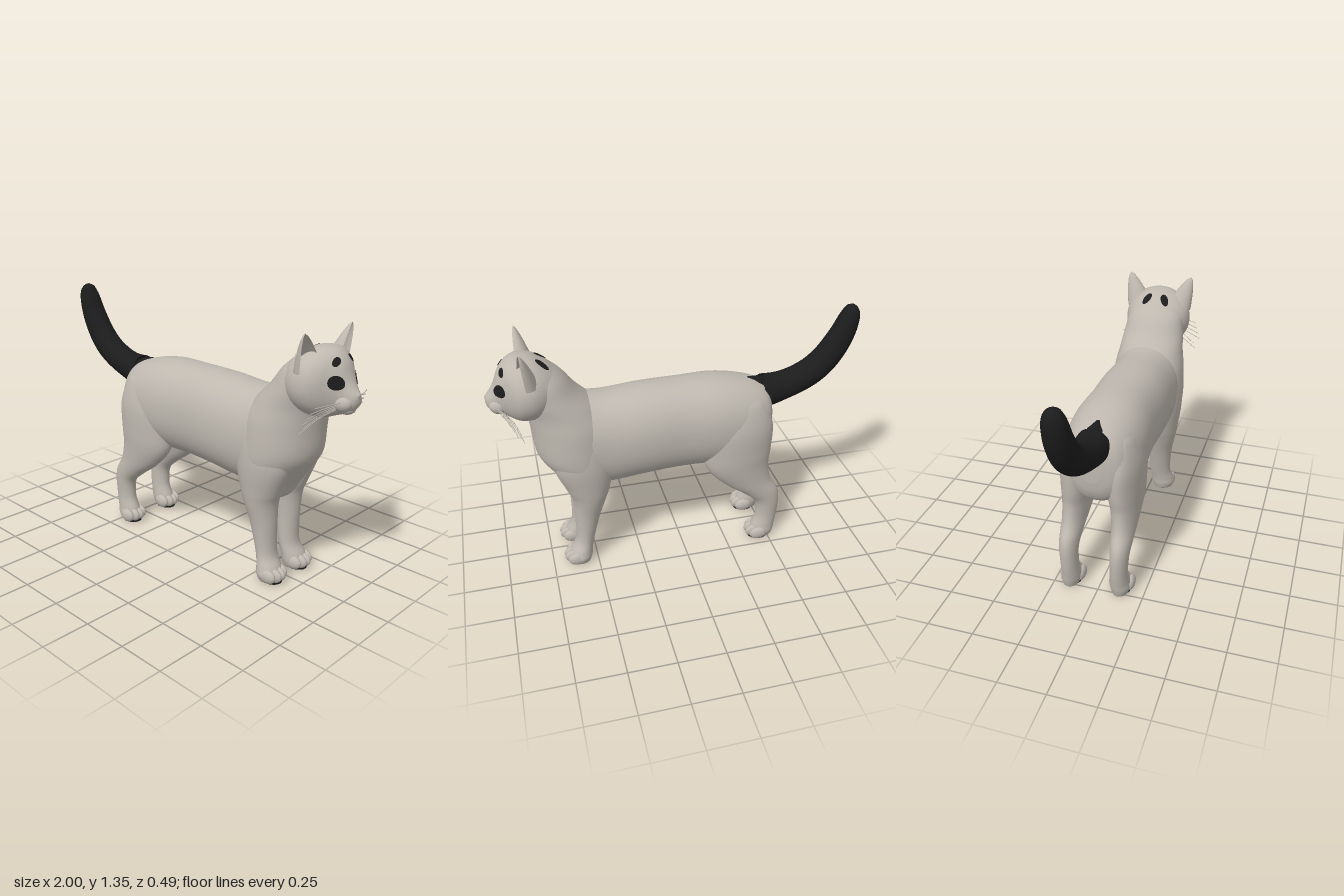
import * as THREE from 'three';

const fur = new THREE.MeshStandardMaterial({ color: 0xbeb8af });
fur.name = 'pale fur';
const dark = new THREE.MeshStandardMaterial({ color: 0x1c1c1c });
dark.name = 'dark fur';
const earFur = new THREE.MeshStandardMaterial({ color: 0xbeb8af, side: THREE.DoubleSide });
earFur.name = 'ear fur';
const mark = new THREE.MeshStandardMaterial({ color: 0x1c1c1c, side: THREE.DoubleSide });
mark.name = 'dark markings';

// Closed skin through rows [cx, cy, cz, ru, rv]; axis is a fixed [tx, ty], or null to follow the path
function loft(rows, axis, { sides = 36, steps = 6, power = 2 } = {}) {
  const curve = (f) => new THREE.CatmullRomCurve3(rows.map(f), false, 'catmullrom', 0.5);
  const centres = curve((r) => new THREE.Vector3(r[0], r[1], r[2]));
  const sizes = curve((r) => new THREE.Vector3(r[3], r[4], 0));
  const n = (rows.length - 1) * steps;
  const pos = [], idx = [];
  const round = (v) => Math.sign(v) * Math.abs(v) ** (2 / power);
  for (let i = 0; i <= n; i++) {
    const c = centres.getPoint(i / n), s = sizes.getPoint(i / n);
    const t = axis ? { x: axis[0], y: axis[1] } : centres.getTangent(i / n);
    for (let j = 0; j < sides; j++) {
      const a = (j / sides) * Math.PI * 2;
      const u = s.x * round(Math.cos(a)), v = s.y * round(Math.sin(a));
      pos.push(c.x - t.y * u, c.y + t.x * u, c.z + v);
      if (i === n) continue;
      const k = i * sides + j, m = i * sides + ((j + 1) % sides);
      idx.push(k, m, k + sides, m, m + sides, k + sides);
    }
  }
  // end caps
  const a = pos.length / 3, last = n * sides;
  for (const row of [rows[0], rows[rows.length - 1]]) pos.push(row[0], row[1], row[2]);
  for (let j = 0; j < sides; j++) {
    const m = (j + 1) % sides;
    idx.push(a, m, j, a + 1, last + j, last + m);
  }
  return surface(pos, idx);
}

function surface(pos, idx) {
  const g = new THREE.BufferGeometry();
  g.setAttribute('position', new THREE.Float32BufferAttribute(pos, 3));
  g.setIndex(idx);
  g.computeVertexNormals();
  return g;
}

// Upright sections [x, bottom, top, halfWidth] and level sections [y, back, front, inner z, outer z]
const upright = ([x, y0, y1, w]) => [x, (y0 + y1) / 2, 0, (y1 - y0) / 2, w];
const level = (side) => ([y, x0, x1, z0, z1]) =>
  [(x0 + x1) / 2, y, (side * (z0 + z1)) / 2, (x1 - x0) / 2, (z1 - z0) / 2];

// Thin marking draped on a surface by casting rays along dir
function drape(targets, centre, dir, a, b, ra, rb) {
  const ray = new THREE.Raycaster(), pos = [], idx = [], rings = 4, seg = 20;
  for (let i = 0; i <= rings; i++) for (let j = 0; j < seg; j++) {
    const t = (j / seg) * Math.PI * 2, r = i / rings;
    const p = centre.clone().addScaledVector(a, ra * r * Math.cos(t)).addScaledVector(b, rb * r * Math.sin(t));
    ray.set(p.clone().addScaledVector(dir, -0.6), dir);
    const hit = ray.intersectObjects(targets)[0];
    const q = (hit ? hit.point : p).clone().addScaledVector(dir, -0.005);
    pos.push(q.x, q.y, q.z);
    if (i === rings) continue;
    const k = i * seg + j, m = i * seg + ((j + 1) % seg);
    idx.push(k, k + seg, m, m, k + seg, m + seg);
  }
  return surface(pos, idx);
}

// Cupped ear shell, open to the front and outside
function earGeometry(side) {
  const pos = [], idx = [], nu = 14, nv = 20;
  for (let i = 0; i <= nu; i++) for (let j = 0; j <= nv; j++) {
    const u = i / nu, a = Math.PI + 0.25 + (j / nv - 0.5) * 4;
    const r = Math.pow(1 - u, 0.62);
    const x = 0.785 + 0.027 * u + 0.06 * r * Math.cos(a);
    const z = 0.112 + 0.07 * u + 0.08 * r * Math.sin(a);
    pos.push(x, 1.15 + 0.19 * u, side * z);
    if (i === nu || j === nv) continue;
    const k = i * (nv + 1) + j, m = k + nv + 1;
    if (side < 0) idx.push(k, k + 1, m, k + 1, m + 1, m);
    else idx.push(k, m, k + 1, k + 1, m, m + 1);
  }
  return surface(pos, idx);
}

export function createModel() {
  const model = new THREE.Group();
  model.name = 'cat';
  model.position.z = -0.02;
  const add = (name, geometry, material = fur) => {
    const m = new THREE.Mesh(geometry, material);
    m.name = name;
    model.add(m);
    return m;
  };
  const blob = (name, x, y, z, rx, ry, rz) =>
    add(name, new THREE.SphereGeometry(1, 20, 14).scale(rx, ry, rz).translate(x, y, z));

  // Torso
  add('torso', loft([
    [-0.515, 0.7, 0.85, 0.05], [-0.5, 0.62, 0.91, 0.115], [-0.46, 0.56, 0.955, 0.162],
    [-0.36, 0.52, 0.992, 0.198], [-0.2, 0.51, 1.02, 0.213], [0, 0.51, 1.02, 0.203],
    [0.2, 0.5, 1.015, 0.208], [0.4, 0.48, 1.0, 0.202], [0.54, 0.49, 1.005, 0.197],
    [0.64, 0.56, 0.97, 0.17], [0.7, 0.65, 0.9, 0.08],
  ].map(upright), [1, 0], { power: 2.2, sides: 48 }));

  // Chest rising into the neck
  const neck = add('chestAndNeck', loft([
    [0.42, 0.5, 0.56, -0.03, 0.03], [0.45, 0.44, 0.615, -0.12, 0.12], [0.52, 0.4, 0.655, -0.18, 0.18],
    [0.6, 0.36, 0.71, -0.203, 0.203], [0.7, 0.35, 0.772, -0.214, 0.214], [0.85, 0.37, 0.79, -0.206, 0.206],
    [0.95, 0.43, 0.805, -0.188, 0.188], [1.05, 0.53, 0.83, -0.174, 0.174], [1.14, 0.6, 0.84, -0.155, 0.155],
    [1.21, 0.68, 0.81, -0.1, 0.1],
  ].map(level(1)), [0, 1], { sides: 48 }));

  // Head
  const head = add('head', loft([
    [0.6, 1.05, 1.12, 0.05], [0.64, 1.0, 1.175, 0.12], [0.7, 0.95, 1.225, 0.168], [0.76, 0.925, 1.255, 0.19],
    [0.82, 0.92, 1.262, 0.182], [0.86, 0.93, 1.252, 0.152], [0.89, 0.942, 1.232, 0.113],
    [0.918, 0.952, 1.195, 0.08], [0.945, 0.965, 1.13, 0.058], [0.968, 0.975, 1.09, 0.045],
    [0.985, 0.995, 1.07, 0.03], [0.995, 1.02, 1.055, 0.012],
  ].map(upright), [1, 0], { power: 2.1, sides: 48 }));
  blob('chin', 0.93, 0.985, 0, 0.045, 0.032, 0.045);
  blob('nose', 0.962, 1.052, 0, 0.036, 0.024, 0.026);

  // Tail, its dark fur running to a point on the rump
  add('tail', loft([
    [-0.375, 0.975, 0, 0.02, 0.012], [-0.41, 0.935, 0, 0.062, 0.05], [-0.46, 0.89, 0, 0.094, 0.088],
    [-0.6, 0.91, 0, 0.079, 0.082], [-0.735, 0.965, 0, 0.076, 0.078], [-0.83, 1.045, 0, 0.075, 0.074],
    [-0.905, 1.16, 0, 0.069, 0.068], [-0.947, 1.27, 0, 0.055, 0.058], [-0.957, 1.325, 0, 0.035, 0.038],
    [-0.96, 1.345, 0, 0.008, 0.008],
  ], null), dark);

  const frontLeg = [
    [0.006, 0.54, 0.655, 0.045, 0.165], [0.04, 0.53, 0.66, 0.034, 0.178], [0.08, 0.525, 0.645, 0.032, 0.17],
    [0.15, 0.51, 0.612, 0.03, 0.155], [0.3, 0.47, 0.61, 0.025, 0.165], [0.42, 0.43, 0.615, 0.012, 0.188],
    [0.5, 0.405, 0.645, 0.005, 0.2], [0.65, 0.38, 0.7, 0.01, 0.213], [0.8, 0.4, 0.68, 0.03, 0.198],
    [0.9, 0.46, 0.62, 0.06, 0.15],
  ];
  const hindLeg = [
    [0.006, -0.53, -0.4, 0.095, 0.185], [0.04, -0.54, -0.395, 0.085, 0.195], [0.08, -0.547, -0.405, 0.085, 0.19],
    [0.15, -0.557, -0.43, 0.09, 0.185], [0.25, -0.562, -0.42, 0.09, 0.19], [0.32, -0.55, -0.345, 0.083, 0.196],
    [0.4, -0.505, -0.235, 0.07, 0.203], [0.5, -0.487, -0.14, 0.05, 0.213], [0.6, -0.497, -0.11, 0.03, 0.219],
    [0.75, -0.5, -0.11, 0.03, 0.216], [0.88, -0.46, -0.17, 0.04, 0.18], [0.94, -0.4, -0.24, 0.07, 0.13],
  ];
  const V = (x, y, z) => new THREE.Vector3(x, y, z);
  const back = V(-1, 0, 0), down = V(0, -1, 0), X = V(1, 0, 0), Y = V(0, 1, 0), Z = V(0, 0, 1);

  for (const s of [1, -1]) {
    const label = s > 0 ? 'Left' : 'Right';
    add('frontLeg' + label, loft(frontLeg.map(level(s)), [0, 1]));
    add('hindLeg' + label, loft(hindLeg.map(level(s)), [0, 1]));

    // Toes and dark soles
    for (const [name, x, z] of [['front', 0.638, 0.106], ['hind', -0.418, 0.14]]) {
      for (let i = 0; i < 4; i++) {
        const d = i - 1.5;
        blob(name + 'Toe' + label, x - 0.008 * d * d, 0.041, s * z + d * 0.032, 0.051, 0.038, 0.023);
      }
      add(name + 'Sole' + label, new THREE.CylinderGeometry(1, 1, 0.008, 24)
        .scale(0.06, 1, 0.05).translate(x - 0.03, 0.004, s * z), dark);
    }

    // Face
    add('ear' + label, earGeometry(s), earFur);
    blob('muzzle' + label, 0.928, 1.015, s * 0.034, 0.052, 0.044, 0.044);
    add('eye' + label, drape([head], V(0.9, 1.115, s * 0.08), back, Y, Z, 0.033, 0.033), mark);
    const tilt = V(0, 0.6, -s * 0.8);
    add('brow' + label, drape([head], V(0.9, 1.205, s * 0.058), back, tilt, V(0, 0.8, s * 0.6), 0.027, 0.014), mark);
    add('napeSpot' + label, drape([head, neck], V(0.7, 1.2, s * 0.052), down,
      V(0.85, 0, -s * 0.5), V(0.5, 0, s * 0.85), 0.034, 0.022), mark);

    // Drooping whiskers
    for (let i = 0; i < 6; i++) {
      const y = 1.025 - 0.008 * i;
      const path = new THREE.CatmullRomCurve3([
        V(0.945 - 0.006 * i, y, s * 0.06), V(0.925 - 0.012 * i, y - 0.008 * i, s * (0.15 - 0.006 * i)),
        V(0.9 - 0.014 * i, 1.02 - 0.027 * i, s * (0.21 + 0.012 * (i % 4))),
      ]);
      add('whisker' + label, new THREE.TubeGeometry(path, 10, 0.002, 5));
    }
  }
  return model;
}
